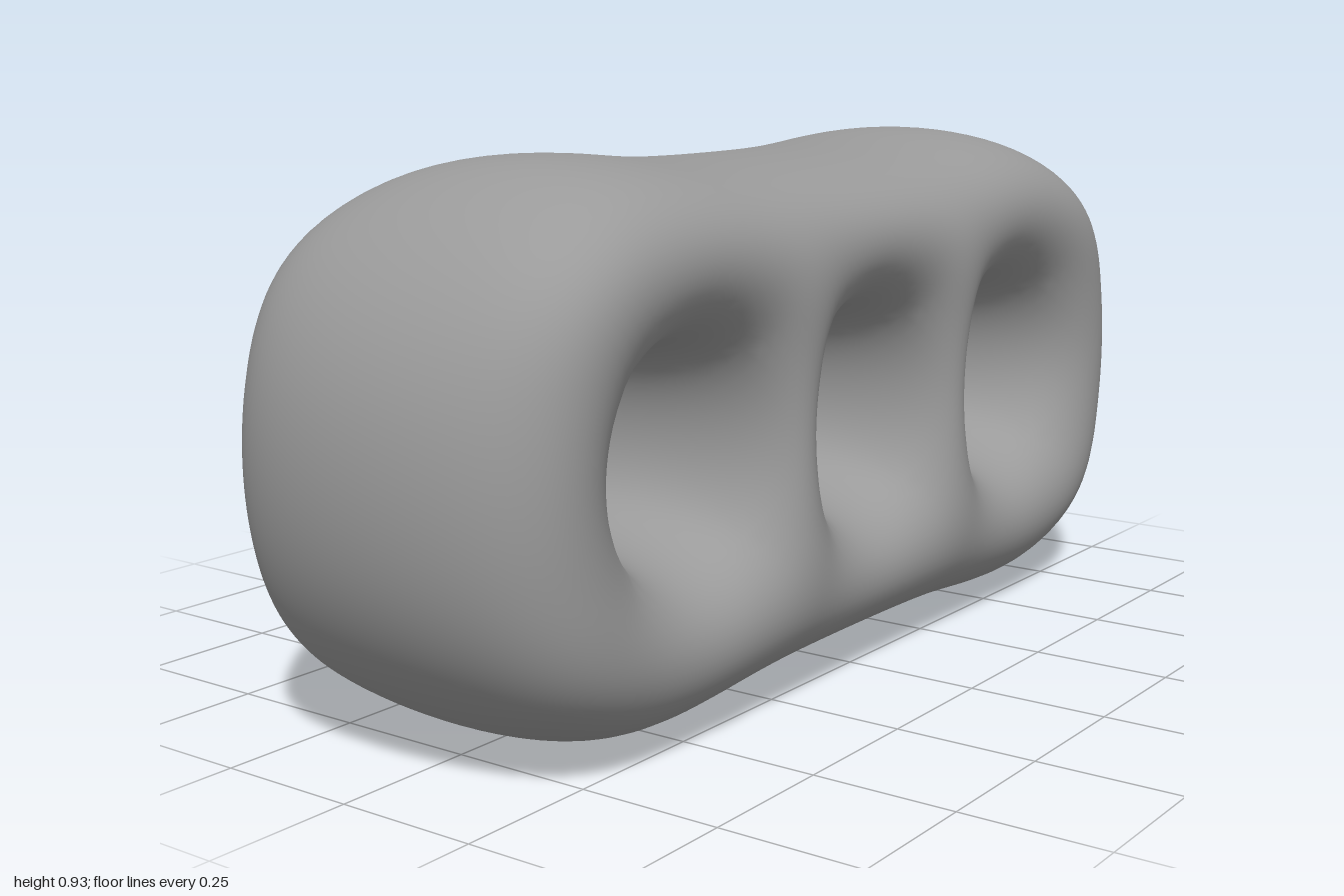
import * as THREE from 'three';

// Half-cage measures, from the middle column outwards
const COLUMN_X = [0.154, 0.346, 0.65, 1.021];
const RIM_Y = [0.454, 0.462, 0.502];
const HOLE_Y = 0.152, HALF_DEPTH = 0.354, HALF_HEIGHT = 0.465;
// The four end corners are drawn in to round the ends
const CORNER = [0.88, 0.35, 0.308];

// A block of 7 x 3 cells with three cells left open as through holes
const solid = (i, j) => i >= 0 && i < 7 && j >= 0 && j < 3 && !(j === 1 && i % 2 === 1);

function buildCage() {
  const points = [], quads = [], index = new Map();
  const vertex = (i, j, k) => {
    const key = `${i},${j},${k}`;
    if (!index.has(key)) {
      const m = Math.abs(i - 3.5) - 0.5;
      const outer = j === 0 || j === 3;
      const [x, y, z] = m === 3 && outer ? CORNER
        : [COLUMN_X[m], outer ? RIM_Y[m] : HOLE_Y, HALF_DEPTH];
      index.set(key, points.length);
      points.push(new THREE.Vector3(
        Math.sign(i - 3.5) * x, Math.sign(j - 1.5) * y, (k ? 1 : -1) * z));
    }
    return index.get(key);
  };
  for (let i = 0; i < 7; i++) for (let j = 0; j < 3; j++) {
    if (!solid(i, j)) continue;
    const ring = [[i, j], [i + 1, j], [i + 1, j + 1], [i, j + 1]];
    // front and back
    quads.push(ring.map(([a, b]) => vertex(a, b, 1)));
    quads.push(ring.map(([a, b]) => vertex(a, b, 0)).reverse());
    // outer rim and hole walls
    [[0, -1], [1, 0], [0, 1], [-1, 0]].forEach(([dx, dy], s) => {
      if (solid(i + dx, j + dy)) return;
      const a = ring[s], b = ring[(s + 1) % 4];
      quads.push([vertex(...b, 1), vertex(...a, 1), vertex(...a, 0), vertex(...b, 0)]);
    });
  }
  return { points, quads };
}

// One step of Catmull-Clark smoothing on a closed quad mesh
function subdivide({ points, quads }) {
  const n = points.length;
  const out = points.map(() => new THREE.Vector3());
  const faceSum = points.map(() => new THREE.Vector3());
  const midSum = points.map(() => new THREE.Vector3());
  const valence = new Array(n).fill(0);
  const edges = new Map();
  const edgeKey = (a, b) => Math.min(a, b) * n + Math.max(a, b);

  // face points
  const faceIds = quads.map((q) => {
    const f = new THREE.Vector3();
    q.forEach((v) => f.addScaledVector(points[v], 0.25));
    out.push(f);
    q.forEach((v, s) => {
      faceSum[v].add(f);
      valence[v]++;
      const w = q[(s + 1) % 4], key = edgeKey(v, w);
      if (!edges.has(key)) edges.set(key, { v, w, sum: new THREE.Vector3() });
      edges.get(key).sum.add(f);
    });
    return out.length - 1;
  });
  // edge points
  for (const e of edges.values()) {
    const ends = points[e.v].clone().add(points[e.w]);
    midSum[e.v].addScaledVector(ends, 0.5);
    midSum[e.w].addScaledVector(ends, 0.5);
    e.id = out.length;
    out.push(ends.add(e.sum).multiplyScalar(0.25));
  }
  // moved original points
  points.forEach((p, v) => {
    const k = valence[v];
    out[v].copy(p).multiplyScalar((k - 3) / k)
      .addScaledVector(faceSum[v], 1 / (k * k))
      .addScaledVector(midSum[v], 2 / (k * k));
  });
  const next = [];
  quads.forEach((q, f) => q.forEach((v, s) => {
    const after = edges.get(edgeKey(v, q[(s + 1) % 4])).id;
    const before = edges.get(edgeKey(v, q[(s + 3) % 4])).id;
    next.push([v, after, faceIds[f], before]);
  }));
  return { points: out, quads: next };
}

export function createModel() {
  let mesh = buildCage();
  for (let level = 0; level < 4; level++) mesh = subdivide(mesh);

  const geometry = new THREE.BufferGeometry().setFromPoints(mesh.points);
  geometry.setIndex(mesh.quads.flatMap(([a, b, c, d]) => [a, b, c, a, c, d]));
  geometry.translate(0, HALF_HEIGHT, 0);
  geometry.computeVertexNormals();

  const body = new THREE.Mesh(geometry, new THREE.MeshStandardMaterial({ color: 0x9a9a9a }));
  body.name = 'threeHoledBlock';
  const group = new THREE.Group();
  group.name = 'model';
  group.add(body);
  return group;
}
